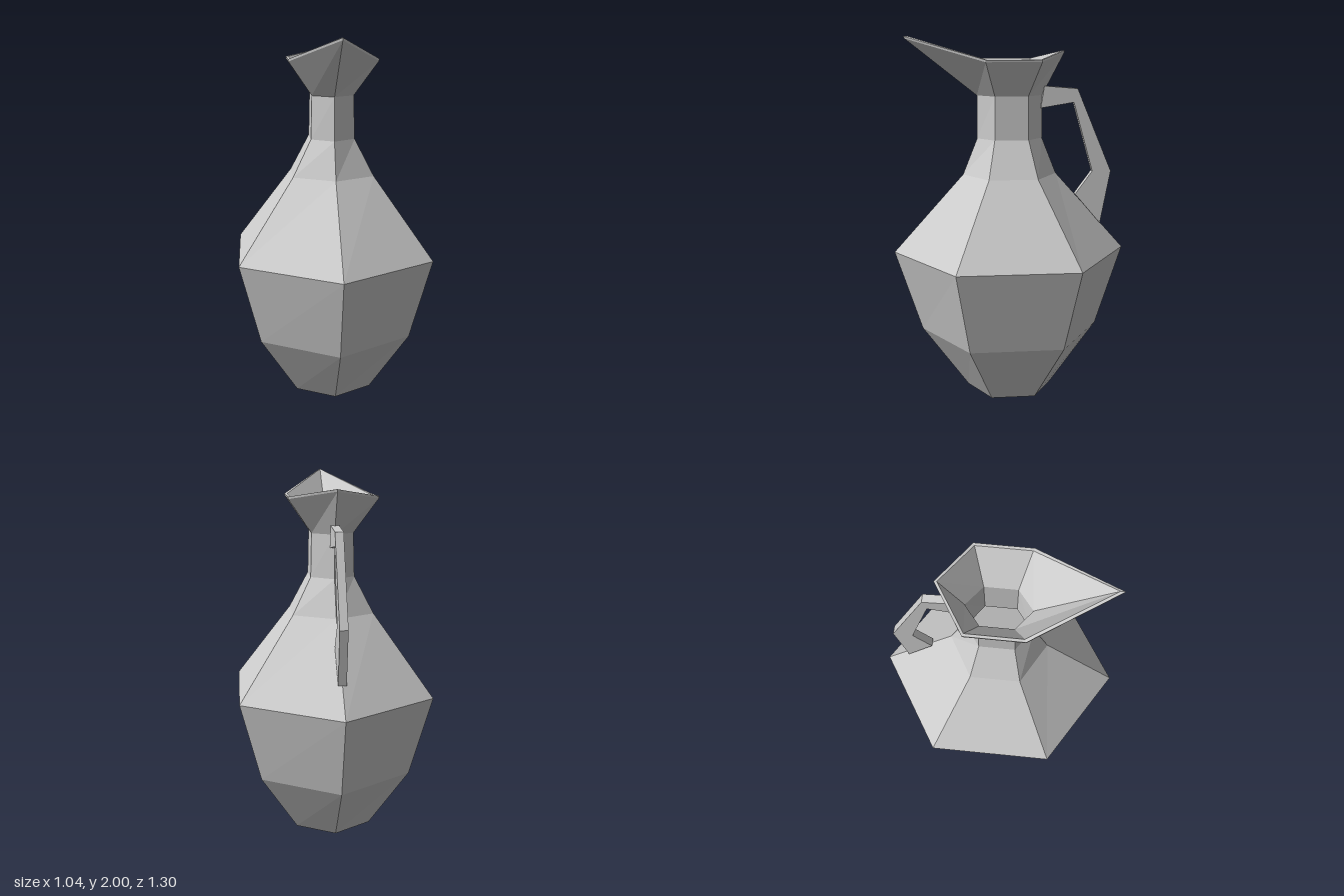
import * as THREE from 'three';

// Six-sided ring: front and back points on z, mirrored side points at (x, z)
function ring(y, x, side, front, back = front) {
  return [
    [0, y, front], [x, y, side], [x, y, -side],
    [0, y, -back], [-x, y, -side], [-x, y, side],
  ].map((p) => new THREE.Vector3(...p));
}

// Lip ring: spout tip and back point rise above the sides
function lipRing(drop, x, side, front, back) {
  const r = ring(1.88 - drop, x, side, front, back);
  r[0].y = 2 - drop;
  r[3].y = 1.925 - drop;
  return r;
}

// Flat-faced skin through a stack of rings, facing outward or inward
function skin(rings, inward = false, capBottom = false) {
  const pos = [];
  const tri = (a, b, c) => {
    for (const v of inward ? [a, c, b] : [a, b, c]) pos.push(v.x, v.y, v.z);
  };
  for (let k = 0; k < rings.length - 1; k++) {
    const a = rings[k], b = rings[k + 1];
    for (let i = 0; i < 6; i++) {
      const j = (i + 1) % 6;
      tri(a[i], a[j], b[j]);
      tri(a[i], b[j], b[i]);
    }
  }
  if (capBottom) {
    const a = rings[0];
    for (let i = 1; i < 5; i++) tri(a[0], a[i + 1], a[i]);
  }
  const g = new THREE.BufferGeometry();
  g.setAttribute('position', new THREE.Float32BufferAttribute(pos, 3));
  g.computeVertexNormals();
  return g;
}

export function createModel() {
  const group = new THREE.Group();
  const clay = new THREE.MeshStandardMaterial({ color: 0xcccccc, flatShading: true });
  clay.name = 'paleGreyClay';
  const add = (name, geometry) => {
    const mesh = new THREE.Mesh(geometry, clay);
    mesh.name = name;
    group.add(mesh);
    return mesh;
  };

  // Body and neck
  const neckTop = ring(1.685, 0.113, 0.09, 0.18);
  add('body', skin([
    ring(0, 0.21, 0.122, 0.243),
    ring(0.355, 0.412, 0.252, 0.503),
    ring(0.813, 0.521, 0.325, 0.651),
    ring(1.25, 0.22, 0.132, 0.26),
    ring(1.45, 0.119, 0.092, 0.18),
    neckTop,
  ], false, true));

  // Flared lip with pouring spout, ending in a thin rim
  const rimOuter = lipRing(0, 0.24, 0.147, 0.57, 0.303);
  const rimInner = lipRing(0, 0.225, 0.14, 0.545, 0.288);
  add('lip', skin([neckTop, lipRing(0.012, 0.238, 0.147, 0.565, 0.3), rimOuter, rimInner]));

  // Hollow inside
  add('inside', skin([
    ring(0.03, 0.2, 0.115, 0.23),
    ring(0.355, 0.395, 0.24, 0.483),
    ring(0.813, 0.5, 0.312, 0.628),
    ring(1.25, 0.205, 0.122, 0.245),
    ring(1.45, 0.106, 0.084, 0.16),
    ring(1.69, 0.104, 0.086, 0.168),
    rimInner,
  ], true, true));

  // Angular handle, drawn in side outline (distance behind centre, height)
  const outline = [
    [0.17, 1.615], [0.355, 1.645], [0.465, 1.26], [0.37, 1.13],
    [0.515, 0.96], [0.57, 1.26], [0.375, 1.72], [0.19, 1.735],
  ];
  const shape = new THREE.Shape(outline.map(([d, y]) => new THREE.Vector2(d, y)));
  const handle = new THREE.ExtrudeGeometry(shape, { depth: 0.044, bevelEnabled: false });
  handle.translate(0, 0, -0.022);
  handle.rotateY(Math.PI / 2);
  add('handle', handle);

  return group;
}
